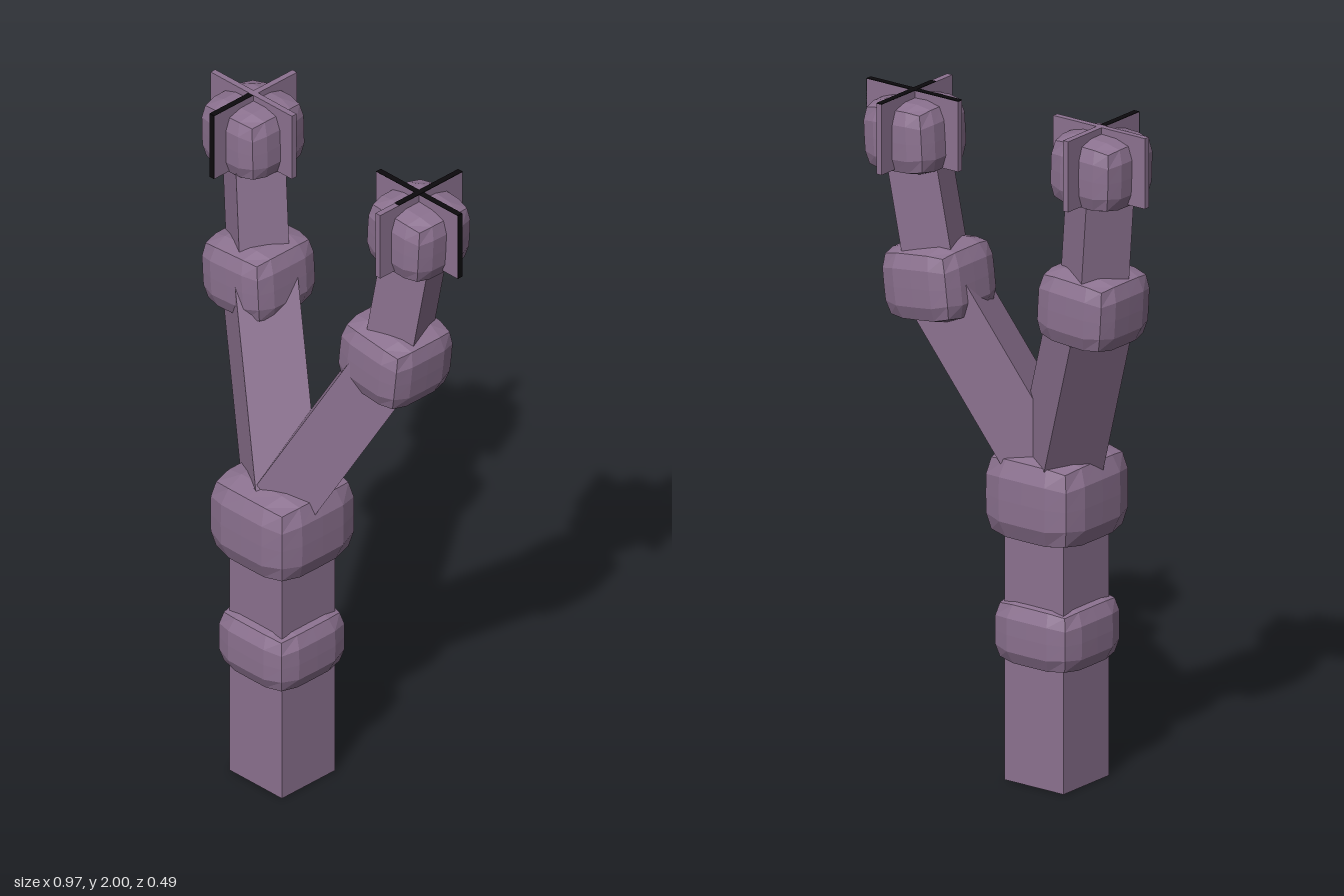
import * as THREE from 'three';

export function createModel() {
  const root = new THREE.Group();
  const stalk = new THREE.MeshStandardMaterial({ color: 0x8c7290 });
  stalk.name = 'dusty purple';
  const dark = new THREE.MeshStandardMaterial({ color: 0x0c0a0d });
  dark.name = 'black';
  stalk.flatShading = true;

  function add(name, geometry, position, material = stalk) {
    const mesh = new THREE.Mesh(geometry, material);
    mesh.name = name;
    mesh.position.set(...position);
    root.add(mesh);
    return mesh;
  }

  // Faceted swollen cube: box grid pulled onto a superellipsoid
  function knob(name, [w, h, d], position, tilt = 0) {
    const g = new THREE.BoxGeometry(2, 2, 2, 4, 4, 4);
    const p = g.attributes.position;
    const v = new THREE.Vector3();
    for (let i = 0; i < p.count; i++) {
      v.fromBufferAttribute(p, i);
      const n = Math.pow(Math.abs(v.x) ** 5 + Math.abs(v.y) ** 5 + Math.abs(v.z) ** 5, -0.2);
      v.multiplyScalar(n);
      p.setXYZ(i, v.x * w / 2, v.y * h / 2, v.z * d / 2);
    }
    const flat = g.toNonIndexed();
    flat.computeVertexNormals();
    add(name, flat, position).rotation.z = tilt;
  }

  // Square beam between two points, turned towards its heading
  function beam(name, from, to, size) {
    const a = new THREE.Vector3(...from), b = new THREE.Vector3(...to);
    const mid = a.clone().add(b).multiplyScalar(0.5);
    const mesh = add(name, new THREE.BoxGeometry(size, size, a.distanceTo(b)), mid.toArray());
    mesh.lookAt(b);
  }

  // Trunk with its two knobs
  add('trunk', new THREE.BoxGeometry(0.205, 0.8, 0.205), [-0.04, 0.4, 0.085]);
  knob('lowerKnob', [0.28, 0.195, 0.28], [-0.04, 0.437, 0.087]);
  knob('forkKnob', [0.32, 0.26, 0.32], [-0.04, 0.835, 0.085]);

  // Two branches, each with an elbow, a bud and crossed leaves
  const branches = [
    { side: 'right', elbow: [-0.275, 1.465, -0.055], bud: [-0.325, 1.88, -0.083], leafY: 1.8975, tilt: 0.06 },
    { side: 'left', elbow: [0.258, 1.43, -0.058], bud: [0.323, 1.847, -0.083], leafY: 1.8675, tilt: -0.12 },
  ];
  for (const { side, elbow, bud, leafY, tilt } of branches) {
    beam(`${side}LowerBranch`, [-0.04, 0.87, 0.085], elbow, 0.178);
    knob(`${side}Elbow`, [0.25, 0.215, 0.25], elbow, tilt);
    beam(`${side}UpperBranch`, elbow, bud, 0.142);
    knob(`${side}Bud`, [0.228, 0.203, 0.228], bud, tilt / 2);
    const at = [bud[0], leafY, -0.085];
    add(`${side}LeafAcross`, new THREE.BoxGeometry(0.318, 0.205, 0.018), at);
    add(`${side}LeafAlong`, new THREE.BoxGeometry(0.018, 0.205, 0.318), at);
  }

  // Dark leaf rims
  const t = 0.002;
  add('rightLeafFrontRim', new THREE.BoxGeometry(0.018, 0.205, t), [-0.325, 1.8975, 0.075], dark);
  add('rightLeafTopRim', new THREE.BoxGeometry(0.018, t, 0.15), [-0.325, 2, 0], dark);
  add('leftLeafTopRim', new THREE.BoxGeometry(0.318, t, 0.018), [0.323, 1.97, -0.085], dark);
  add('leftLeafBackTopRim', new THREE.BoxGeometry(0.018, t, 0.245), [0.323, 1.9705, -0.1215], dark);
  add('leftLeafEndRim', new THREE.BoxGeometry(t, 0.205, 0.018), [0.482, 1.8675, -0.085], dark);

  return root;
}
